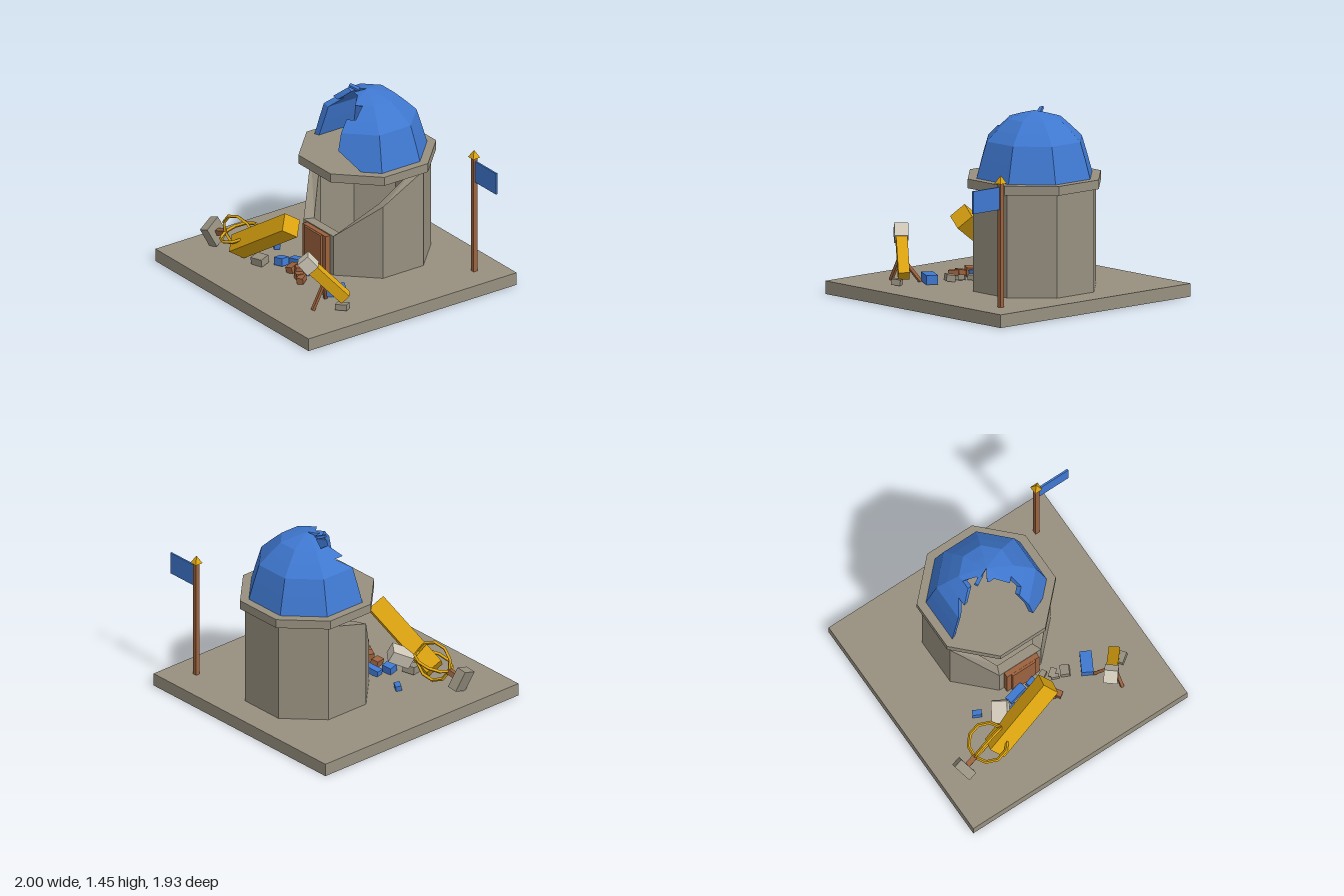
import * as THREE from 'three';

const mat = (name, color, side = THREE.FrontSide) => {
  const m = new THREE.MeshStandardMaterial({ color, side, flatShading: true });
  m.name = name;
  return m;
};
const STONE = mat('stone', 0x979080, THREE.DoubleSide);
const PALE = mat('paleStone', 0xcfc8b8);
const BLUE = mat('blue', 0x3f78d0, THREE.DoubleSide);
const GOLD = mat('gold', 0xdca410);
const WOOD = mat('wood', 0x9c623e);

const CX = -0.035, CZ = -0.29; // tower axis
const V = (x, y, z) => new THREE.Vector3(x, y, z);

// Point on an octagon of given apothem; u counts corners around from the front right
function oct(u, apothem, y) {
  const R = apothem / Math.cos(Math.PI / 8);
  const corner = (k) => V(CX + R * Math.sin((k + 0.5) * Math.PI / 4), y, CZ + R * Math.cos((k + 0.5) * Math.PI / 4));
  const k = Math.floor(u);
  return corner(k).lerp(corner(k + 1), u - k);
}

function quadMesh(name, quads, material) {
  const pos = [];
  for (const [a, b, c, d] of quads) for (const p of [a, b, c, a, c, d]) pos.push(p.x, p.y, p.z);
  const g = new THREE.BufferGeometry();
  g.setAttribute('position', new THREE.Float32BufferAttribute(pos, 3));
  g.computeVertexNormals();
  const m = new THREE.Mesh(g, material);
  m.name = name;
  return m;
}

// Thick wall cell: outer and inner corners are bottom-left, bottom-right, top-right, top-left
function cell(quads, o, i, startCap, endCap) {
  quads.push(o, [i[1], i[0], i[3], i[2]]);
  quads.push([o[3], o[2], i[2], i[3]], [o[1], o[0], i[0], i[1]]);
  if (startCap) quads.push([i[0], o[0], o[3], i[3]]);
  if (endCap) quads.push([o[1], i[1], i[2], o[2]]);
}

function box(name, material, size, pos, rot = [0, 0, 0]) {
  const m = new THREE.Mesh(new THREE.BoxGeometry(...size), material);
  m.name = name;
  m.position.set(...pos);
  m.rotation.set(...rot);
  return m;
}

// Box whose length runs from a to b, with one side edge along the hint direction
function beam(name, material, a, b, w, d, hint = V(0, 0, 1)) {
  const y = b.clone().sub(a), len = y.length();
  y.normalize();
  const x = hint.clone().addScaledVector(y, -hint.dot(y)).normalize();
  const m = new THREE.Mesh(new THREE.BoxGeometry(w, len, d), material);
  m.name = name;
  m.quaternion.setFromRotationMatrix(new THREE.Matrix4().makeBasis(x, y, x.clone().cross(y)));
  m.position.copy(a).add(b).multiplyScalar(0.5);
  return m;
}

function makeBase() {
  // Slab, open underneath
  const c = [[-1, 0.965], [0.93, 0.965], [0.93, -0.965], [-1, -0.965]];
  const at = (k, y) => V(c[k % 4][0], y, c[k % 4][1]);
  const quads = [[0, 1, 2, 3].map((k) => at(k, 0.1))];
  for (let k = 0; k < 4; k++) quads.push([at(k, 0), at(k + 1, 0), at(k + 1, 0.1), at(k, 0.1)]);
  return quadMesh('base', quads, STONE);
}

function makeTower() {
  // Wall whose rim drops toward the broken front
  const h = [0.42, 0.69, 0.885, 0.885, 0.885, 0.885, 0.78, 0.42];
  const quads = [];
  for (let k = 0; k < 8; k++) {
    const n = (k + 1) % 8;
    const side = (r) => [oct(k, r, 0.1), oct(n, r, 0.1), oct(n, r, h[n]), oct(k, r, h[k])];
    cell(quads, side(0.4525), side(0.378), false, false);
  }
  return quadMesh('towerWall', quads, STONE);
}

function makeDome() {
  // Rows: bottom [y, apothem, start, end], top [y, apothem, start, end]
  const rows = [
    [[0.955, 0.425, 0.55, 6], [1.1, 0.387, 0, 6]],
    [[1.1, 0.387, 0, 6], [1.23, 0.35, 0, 6]],
    [[1.23, 0.35, 0, 6], [1.31, 0.275, 0, 5.65]],
    [[1.31, 0.275, 0.3, 6], [1.39, 0.192, 0.45, 5.75]],
    [[1.39, 0.192, 0.1, 5.3], [1.42, 0.095, -0.4, 5.6]],
    [[1.42, 0.095, -1.2, 6], [1.445, 0, -1.2, 6]],
  ];
  const quads = [];
  const clamp = THREE.MathUtils.clamp;
  for (const [b, t] of rows) {
    const k0 = Math.floor(Math.min(b[2], t[2])), k1 = Math.ceil(Math.max(b[3], t[3]));
    for (let k = k0; k < k1; k++) {
      const p = (row, u, thick) => oct(clamp(u, row[2], row[3]), Math.max(row[1] - 1.2 * thick, 0),
        row[0] === 0.955 ? row[0] : row[0] - 0.7 * thick);
      const side = (th) => [p(b, k, th), p(b, k + 1, th), p(t, k + 1, th), p(t, k, th)];
      cell(quads, side(0), side(0.03), k === k0, k === k1 - 1);
    }
  }
  return quadMesh('brokenDome', quads, BLUE);
}

function makeRings() {
  // Two crossed rings around a shared axle
  const g = new THREE.Group();
  g.name = 'crossedRings';
  const x = V(0.942, 0.269, -0.2).normalize();
  const z = x.clone().cross(V(0, 1, 0.2)).normalize();
  g.quaternion.setFromRotationMatrix(new THREE.Matrix4().makeBasis(x, z.clone().cross(x), z));
  g.position.set(-0.56, 0.275, 0.51);
  for (const tilt of [0, Math.PI / 2]) {
    const ring = new THREE.Mesh(new THREE.TorusGeometry(0.148, 0.014, 4, 10), GOLD);
    ring.name = 'ring';
    ring.rotation.x = tilt;
    g.add(ring);
  }
  g.add(box('axle', WOOD, [0.12, 0.04, 0.04], [-0.2, 0, 0]));
  g.add(box('counterweight', STONE, [0.075, 0.165, 0.15], [-0.265, 0, 0], [0.2, 0, 0]));
  return g;
}

function makeFlag() {
  const g = new THREE.Group();
  g.name = 'flagpole';
  g.add(box('pole', WOOD, [0.035, 0.95, 0.035], [0.713, 0.57, -0.73]));
  g.add(box('flag', BLUE, [0.265, 0.172, 0.014], [0.865, 0.928, -0.73]));
  const tip = new THREE.Mesh(new THREE.ConeGeometry(0.046, 0.06, 4), GOLD);
  tip.name = 'poleTip';
  tip.position.set(0.713, 1.07, -0.73);
  tip.rotation.y = Math.PI / 4;
  g.add(tip);
  return g;
}

function makeDebris() {
  const g = new THREE.Group();
  g.name = 'debris';
  // Material, x, z, width, height, depth, turn
  const bits = [
    [BLUE, -0.47, 0.23, 0.07, 0.04, 0.045, -0.5], [BLUE, -0.14, 0.26, 0.16, 0.05, 0.06, 0.2],
    [BLUE, 0.01, 0.285, 0.07, 0.06, 0.11, 0.3], [BLUE, -0.22, 0.37, 0.08, 0.06, 0.08, 0.2],
    [BLUE, 0.43, 0.36, 0.09, 0.07, 0.17, -0.5],
    [WOOD, -0.08, 0.37, 0.06, 0.05, 0.09, 0.3], [WOOD, 0.01, 0.37, 0.07, 0.07, 0.07, -0.5],
    [WOOD, 0.06, 0.41, 0.09, 0.05, 0.06, -0.4], [WOOD, 0.115, 0.43, 0.05, 0.05, 0.08, 0.6],
    [STONE, 0.05, 0.25, 0.05, 0.04, 0.05, 0.2], [STONE, 0.11, 0.245, 0.06, 0.04, 0.045, 0.5],
    [STONE, 0.18, 0.275, 0.07, 0.04, 0.05, 0.7], [STONE, 0.18, 0.31, 0.06, 0.03, 0.03, -0.4],
    [STONE, 0.265, 0.315, 0.07, 0.05, 0.08, -0.5], [STONE, -0.33, 0.49, 0.1, 0.06, 0.09, 0.3],
    [STONE, 0.67, 0.46, 0.09, 0.045, 0.07, 0.6],
  ];
  bits.forEach(([m, x, z, w, h, d, turn], i) =>
    g.add(box('rubble', m, [w, h, d], [x, 0.105 + h / 2, z], [0.12 * (i % 3 - 1), turn, 0.15 * (i % 2)])));
  return g;
}

export function createModel() {
  const model = new THREE.Group();
  model.name = 'ruinedObservatory';
  model.add(makeBase(), makeTower(), makeDome(), makeFlag(), makeDebris(), makeRings());

  // Ledge under the dome
  const ledge = new THREE.Mesh(new THREE.CylinderGeometry(0.53, 0.53, 0.07, 8), STONE);
  ledge.name = 'ledge';
  ledge.rotation.y = Math.PI / 8;
  ledge.position.set(CX, 0.92, CZ);
  model.add(ledge);

  // Loose shard at the dome's crown
  model.add(box('domeShard', BLUE, [0.1, 0.02, 0.03], [-0.13, 1.425, -0.25], [0.2, 0.5, -0.4]));

  // Door with a raised panel
  model.add(box('doorFrame', WOOD, [0.29, 0.325, 0.04], [-0.035, 0.25, 0.183]));
  model.add(box('doorPanel', WOOD, [0.21, 0.32, 0.02], [-0.035, 0.25, 0.21]));

  // Fallen telescope
  model.add(beam('telescopeTube', GOLD, V(-0.526, 0.186, 0.549), V(0.02, 0.545, 0.457), 0.142, 0.142, V(0.03, -0.075, -0.115)));
  model.add(box('fallenBlock', PALE, [0.12, 0.1, 0.17], [-0.35, 0.29, 0.365], [0.5, -0.5, 0.45]));

  // Small telescope on two legs
  model.add(beam('smallTube', GOLD, V(0.47, 0.45, 0.63), V(0.645, 0.175, 0.41), 0.085, 0.085, V(0.75, 0, 0.6)));
  model.add(beam('smallTubeHead', PALE, V(0.445, 0.495, 0.66), V(0.495, 0.41, 0.6), 0.105, 0.105, V(0.75, 0, 0.6)));
  model.add(beam('leg', WOOD, V(0.44, 0.105, 0.45), V(0.55, 0.29, 0.54), 0.024, 0.024));
  model.add(beam('leg', WOOD, V(0.555, 0.105, 0.65), V(0.555, 0.29, 0.55), 0.024, 0.024, V(1, 0, 0)));
  return model;
}
